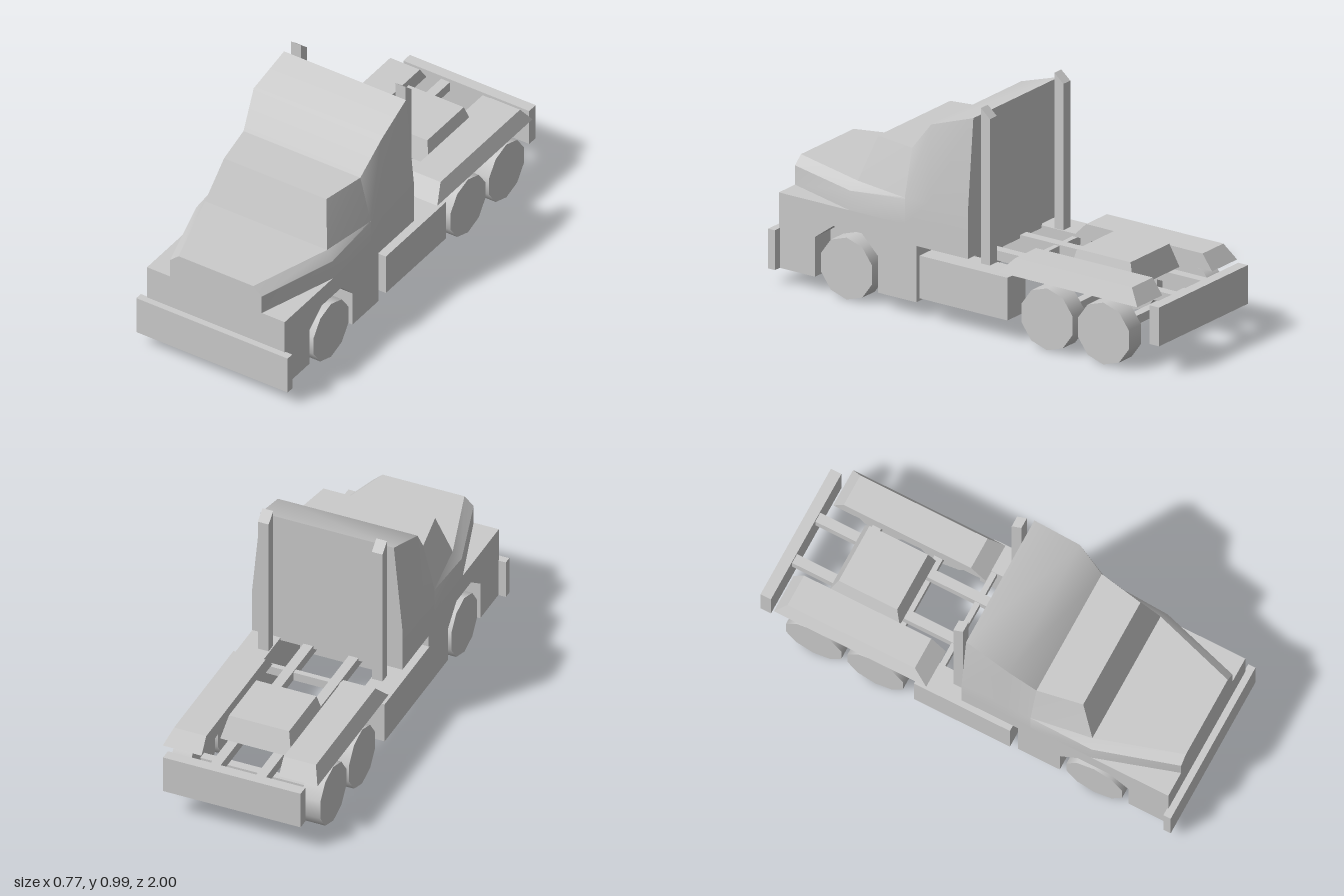
import * as THREE from 'three';
import { toCreasedNormals } from 'three/addons/utils/BufferGeometryUtils.js';

const material = new THREE.MeshStandardMaterial({ color: 0xcccccc });

export function createModel() {
  const model = new THREE.Group();

  function add(name, geometry) {
    const mesh = new THREE.Mesh(geometry, material);
    mesh.name = name;
    model.add(mesh);
    return mesh;
  }

  // Box given by its extents on each axis
  function box(name, x0, x1, y0, y1, z0, z1) {
    const g = new THREE.BoxGeometry(x1 - x0, y1 - y0, z1 - z0);
    return add(name, g.translate((x0 + x1) / 2, (y0 + y1) / 2, (z0 + z1) / 2));
  }

  // Side profile of [z, y] points extruded from x0 to x1
  function sideExtrude(name, points, x0, x1) {
    const shape = new THREE.Shape(points.map(([z, y]) => new THREE.Vector2(z, y)));
    const g = new THREE.ExtrudeGeometry(shape, { depth: x1 - x0, bevelEnabled: false });
    return add(name, g.rotateY(-Math.PI / 2).translate(x1, 0, 0));
  }

  // Closed skin through rings of [x, y, z] corners
  function loft(name, rings) {
    const pos = [];
    const tri = (a, b, c) => pos.push(...a, ...b, ...c);
    const n = rings[0].length;
    for (let r = 0; r < rings.length - 1; r++) {
      for (let i = 0; i < n; i++) {
        const j = (i + 1) % n;
        const a = rings[r][i], b = rings[r][j], c = rings[r + 1][j], d = rings[r + 1][i];
        tri(a, b, d);
        tri(b, c, d);
      }
    }
    const first = rings[0], last = rings[rings.length - 1];
    for (let i = 1; i < n - 1; i++) {
      tri(first[0], first[i + 1], first[i]);
      tri(last[0], last[i], last[i + 1]);
    }
    const g = new THREE.BufferGeometry();
    g.setAttribute('position', new THREE.Float32BufferAttribute(pos, 3));
    return add(name, toCreasedNormals(g, 0.6));
  }

  // Half section (bottom to top) mirrored into a full ring
  const mirrored = (half) => [...half, ...half.map(([x, y, z]) => [-x, y, z]).reverse()];

  // Tapered block between two [x0, x1, z0, z1] rectangles
  function taperedBlock(name, y0, bottom, y1, top) {
    const ring = ([x0, x1, z0, z1], y) => [[x1, y, z1], [x1, y, z0], [x0, y, z0], [x0, y, z1]];
    return loft(name, [ring(bottom, y0), ring(top, y1)]);
  }

  // Lower cab: solid core and outer panels with wheel arches
  const rear = [[0.97, 0.40], [-0.02, 0.40], [-0.02, 0.315], [0.25, 0.315], [0.25, 0.06]];
  const arch = [[0.45, 0.06], [0.45, 0.225], [0.535, 0.31], [0.685, 0.31], [0.78, 0.24], [0.78, 0.06]];
  sideExtrude('cabCore', [...rear, [0.97, 0.06]], -0.24, 0.24);
  for (const [x0, x1] of [[0.24, 0.35], [-0.35, -0.24]]) {
    sideExtrude('cabSidePanel', [...rear, ...arch, [0.97, 0.06]], x0, x1);
  }

  // Hood widening towards the cab
  loft('hood', [
    mirrored([[0.35, 0.40, 0.31], [0.35, 0.515, 0.31], [0.348, 0.52, 0.31]]),
    mirrored([[0.35, 0.40, 0.6], [0.345, 0.487, 0.6], [0.31, 0.525, 0.585]]),
    mirrored([[0.233, 0.40, 0.97], [0.233, 0.487, 0.97], [0.19, 0.525, 0.97]]),
  ]);

  // Windscreen and side windows
  loft('windscreenCabin', [
    mirrored([[0.35, 0.52, 0.31], [0.297, 0.73, 0.31]]),
    mirrored([[0.31, 0.525, 0.585], [0.26, 0.73, 0.515]]),
  ]);

  // Sleeper with raised roof fairing
  loft('sleeperCab', [
    mirrored([[0.35, 0.40, -0.02], [0.35, 0.52, -0.02], [0.31, 0.94, -0.02]]),
    mirrored([[0.35, 0.40, 0.19], [0.35, 0.52, 0.19], [0.325, 0.87, 0.19]]),
    mirrored([[0.35, 0.40, 0.31], [0.35, 0.52, 0.31], [0.297, 0.73, 0.31]]),
  ]);

  // Bumpers
  box('frontBumper', -0.385, 0.385, 0.06, 0.24, 0.965, 1);
  box('rearBumper', -0.32, 0.32, 0.125, 0.30, -1, -0.95);

  // Chassis cross members and axles
  box('cabMount', -0.24, 0.24, 0.27, 0.32, 0.02, 0.19);
  box('crossMember', -0.24, 0.24, 0.24, 0.28, -0.185, -0.16);
  for (const z of [-0.435, -0.73]) {
    box('rearAxle', -0.27, 0.27, 0.113, 0.153, z - 0.02, z + 0.02);
  }

  // Coupling plate
  taperedBlock('couplingPlate', 0.285, [-0.165, 0.165, -0.755, -0.415], 0.39, [-0.14, 0.14, -0.72, -0.44]);

  // Paired parts
  for (const side of [1, -1]) {
    const span = (a, b) => (side > 0 ? [a, b] : [-b, -a]);

    box('frameRail', ...span(0.083, 0.128), 0.24, 0.285, -0.95, 0.25);
    box('sideTank', ...span(0.235, 0.367), 0.09, 0.283, -0.24, 0.22);

    const stack = [[-0.045, 0.28], [-0.045, 0.985], [-0.092, 0.945], [-0.092, 0.28]];
    sideExtrude('exhaustStack', stack, ...span(0.24, 0.29));

    taperedBlock('rearFender', 0.295, [...span(0.18, 0.36), -0.915, -0.185],
      0.365, [...span(0.18, 0.33), -0.865, -0.255]);

    for (const z of [0.615, -0.435, -0.73]) {
      const g = new THREE.CylinderGeometry(0.14, 0.14, 0.09, 10);
      g.rotateY(Math.PI / 2).rotateZ(Math.PI / 2).rotateX(Math.PI / 2);
      // Rest the ten-sided wheel on a flat
      g.rotateX(Math.PI / 2);
      add(z > 0 ? 'frontWheel' : 'rearWheel', g.translate(side * 0.305, 0.133, z));
    }
  }

  return model;
}
